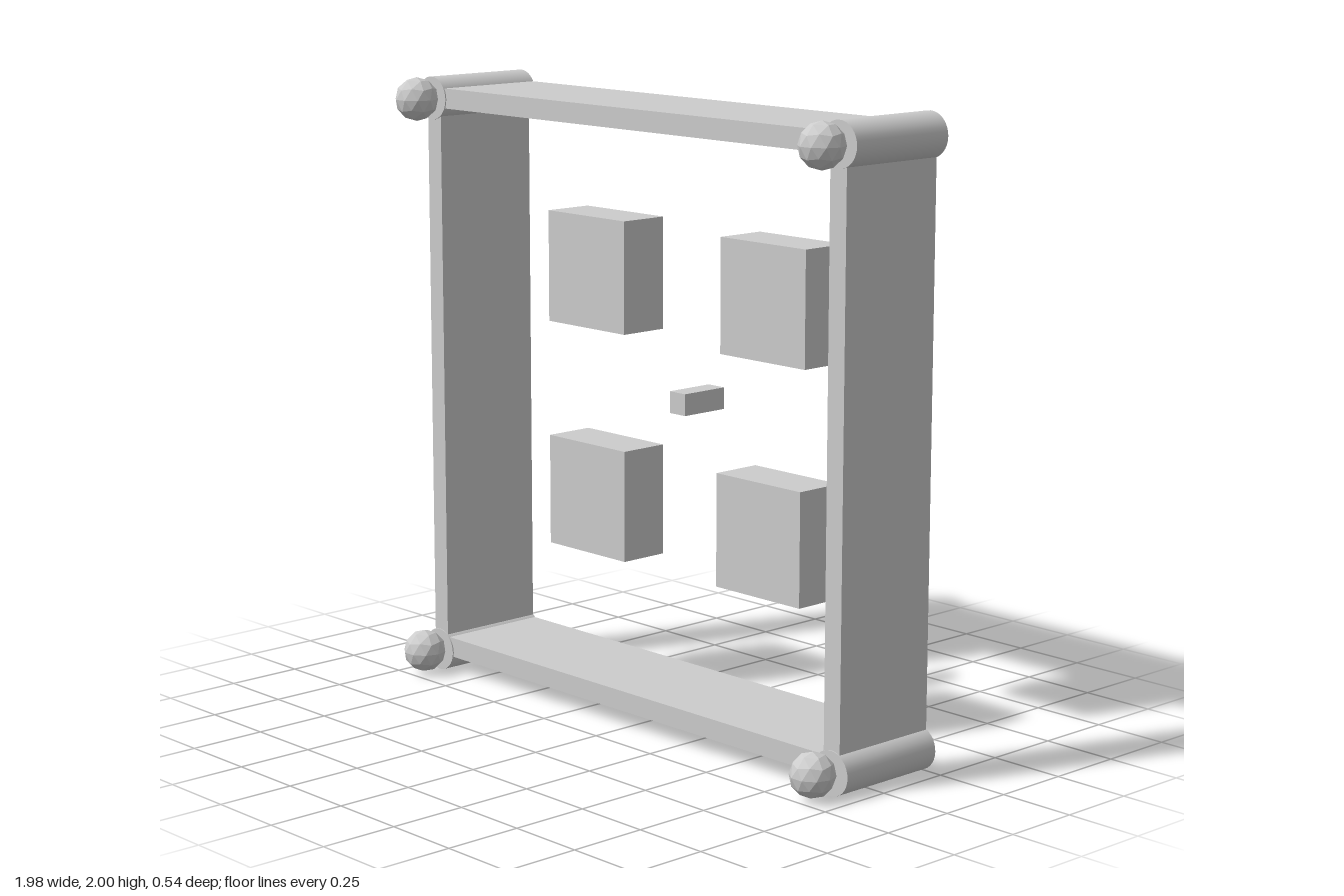
import * as THREE from 'three';

export function createModel() {
  const group = new THREE.Group();
  const grey = new THREE.MeshStandardMaterial({ color: 0xcccccc });
  grey.name = 'light grey';
  const facetedGrey = grey;

  const add = (name, geometry, x, y, z) => {
    const mesh = new THREE.Mesh(geometry, facetedGrey);
    mesh.name = name;
    mesh.position.set(x, y, z);
    group.add(mesh);
    return mesh;
  };
  // Box given by its limits on each axis
  const addBox = (name, x0, x1, y0, y1, z0, z1) =>
    add(name, new THREE.BoxGeometry(x1 - x0, y1 - y0, z1 - z0),
      (x0 + x1) / 2, (y0 + y1) / 2, (z0 + z1) / 2);

  // Square frame of four deep boards
  const back = -0.245, front = 0.132;
  addBox('topBoard', -0.91, 0.91, 1.9, 1.965, back, front);
  addBox('bottomBoard', -0.91, 0.91, 0.055, 0.12, back, front);
  addBox('rightBoard', -0.945, -0.88, 0.087, 1.93, back, front);
  addBox('leftBoard', 0.878, 0.943, 0.087, 1.93, back, front);

  // Round corner posts
  const post = new THREE.CylinderGeometry(0.07, 0.07, 0.383, 32).rotateX(Math.PI / 2);
  // Faceted balls in front of the posts, one vertex pointing up
  const ball = new THREE.IcosahedronGeometry(0.071, 1)
    .rotateX(-Math.atan((1 + Math.sqrt(5)) / 2));
  ball.computeVertexNormals(); // unshared corners give flat facets
  const corners = [
    ['topRight', -0.92, 1.93, -0.918, 1.931],
    ['topLeft', 0.915, 1.93, 0.91, 1.931],
    ['bottomRight', -0.92, 0.07, -0.92, 0.077],
    ['bottomLeft', 0.91, 0.07, 0.899, 0.077],
  ];
  for (const [name, px, py, bx, by] of corners) {
    add(name + 'Post', post, px, py, -0.0555);
    add(name + 'Ball', ball, bx, by, 0.2);
  }

  // Floating blocks inside the frame, set towards the back
  const blocks = [
    ['topRightBlock', -0.435, 1.387, 0.366],
    ['topLeftBlock', 0.373, 1.384, 0.366],
    ['bottomRightBlock', -0.435, 0.638, 0.366],
    ['bottomLeftBlock', 0.359, 0.638, 0.366],
    ['centreBlock', -0.003, 1.016, 0.07],
  ];
  for (const [name, x, y, size] of blocks) {
    add(name, new THREE.BoxGeometry(size, size, 0.17), x, y, -0.187);
  }
  return group;
}
